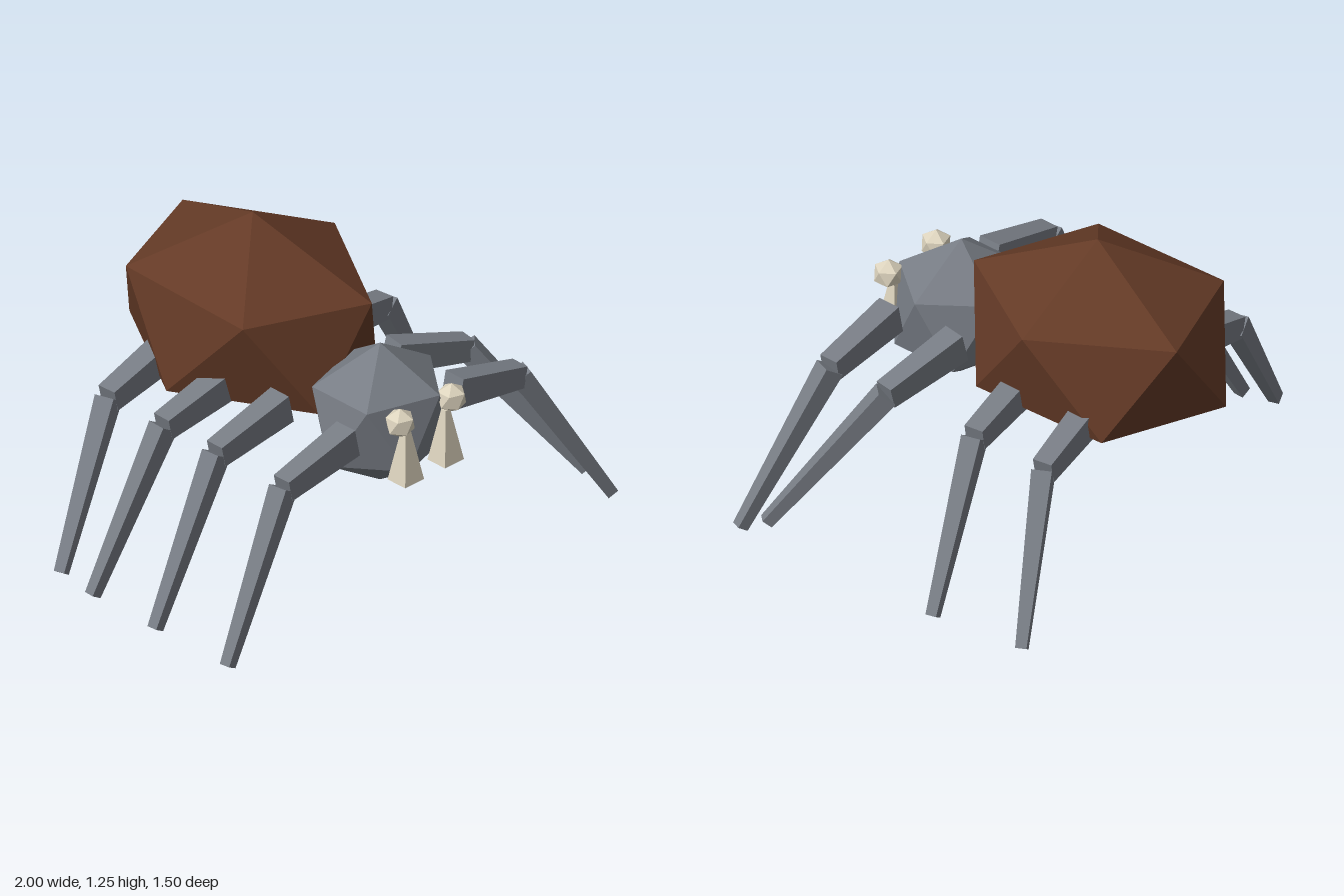
import * as THREE from 'three';
import { ConvexGeometry } from 'three/addons/geometries/ConvexGeometry.js';

const material = (name, color) => {
  const m = new THREE.MeshStandardMaterial({ color });
  m.name = name;
  return m;
};

// Icosahedron standing on a point, with two staggered rings of five corners
function facetedBall(rx, ry, rz) {
  const pts = [new THREE.Vector3(0, ry, 0), new THREE.Vector3(0, -ry, 0)];
  const h = 1 / Math.sqrt(5), r = 2 / Math.sqrt(5);
  for (let i = 0; i < 5; i++) {
    const a = (i * Math.PI * 2) / 5;
    const x = rx * r * Math.cos(a), z = rz * r * Math.sin(a);
    pts.push(new THREE.Vector3(x, ry * h, z), new THREE.Vector3(-x, -ry * h, z));
  }
  return new ConvexGeometry(pts);
}

// Tapered square bar from a to b; sizes are [width, height] at each end
function taperedBar(a, b, sizeA, sizeB) {
  const dir = b.clone().sub(a).normalize();
  const side = new THREE.Vector3(0, 1, 0).cross(dir).normalize();
  const up = dir.clone().cross(side);
  const pts = [];
  for (const [p, [w, h]] of [[a, sizeA], [b, sizeB]])
    for (const i of [-0.5, 0.5])
      for (const j of [-0.5, 0.5])
        pts.push(p.clone().addScaledVector(side, i * w).addScaledVector(up, j * h));
  return new ConvexGeometry(pts);
}

export function createModel() {
  const model = new THREE.Group();
  model.name = 'spider';
  const brown = material('abdomen brown', 0x643a26);
  const grey = material('body grey', 0x777c84);
  const cream = material('eye cream', 0xdcd3bd);

  const add = (parent, name, geometry, mat, x = 0, y = 0, z = 0) => {
    const mesh = new THREE.Mesh(geometry, mat);
    mesh.name = name;
    mesh.position.set(x, y, z);
    parent.add(mesh);
    return mesh;
  };

  // Body
  const abdomen = add(model, 'abdomen', facetedBall(0.492, 0.421, 0.598), brown, 0, 0.848, -0.24);
  abdomen.rotation.x = 0.027;
  add(model, 'head', facetedBall(0.298, 0.299, 0.28), grey, 0.006, 0.68, 0.45);

  // Eyes and fangs
  for (const x of [-0.127, 0.145])
    add(model, 'eye', facetedBall(0.062, 0.061, 0.062), cream, x, 0.785, 0.693);
  for (const x of [-0.096, 0.115])
    add(model, 'fang', taperedBar(new THREE.Vector3(x, 0.525, 0.692), new THREE.Vector3(x, 0.745, 0.692).add(new THREE.Vector3(0, 0, 1e-4)),
      [0.1, 0.095], [0.024, 0.024]), cream);

  // Legs: side, hip y, hip z, knee z, foot x, foot y, foot z
  const legs = [
    ['left', 1, 0.715, 0.57, 0.575, 0.968, 0.04, 0.715],
    ['left', 1, 0.73, 0.24, 0.295, 0.95, 0.105, 0.6],
    ['left', 1, 0.705, -0.105, -0.15, 0.968, 0.057, -0.25],
    ['left', 1, 0.725, -0.44, -0.495, 0.95, 0.088, -0.68],
    ['right', -1, 0.72, 0.56, 0.56, 0.96, 0.03, 0.612],
    ['right', -1, 0.72, 0.205, 0.2, 0.965, 0.035, 0.228],
    ['right', -1, 0.72, -0.075, -0.085, 0.97, 0.045, -0.103],
    ['right', -1, 0.725, -0.395, -0.38, 0.98, 0.08, -0.262],
  ];
  for (const [side, s, hipY, hipZ, kneeZ, footX, footY, footZ] of legs) {
    const leg = new THREE.Group();
    leg.name = side + 'Leg';
    const hip = new THREE.Vector3(s * 0.27, hipY, hipZ);
    const knee = new THREE.Vector3(s * 0.615, 0.645, kneeZ);
    const foot = new THREE.Vector3(s * footX, footY, footZ);
    add(leg, 'upperLeg', taperedBar(hip, knee, [0.098, 0.122], [0.082, 0.09]), grey);
    add(leg, 'lowerLeg', taperedBar(knee, foot, [0.08, 0.082], [0.044, 0.046]), grey);
    model.add(leg);
  }
  return model;
}
